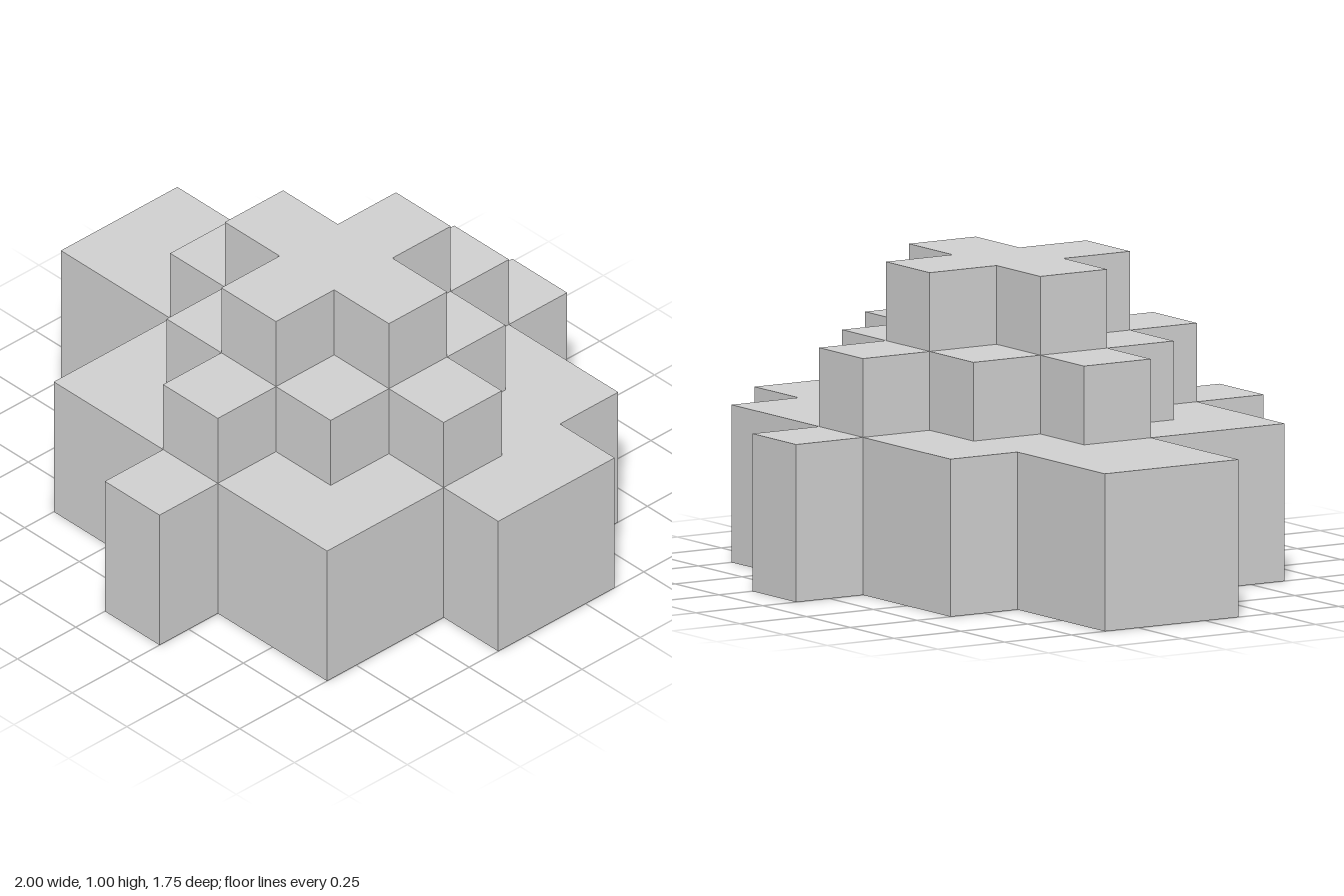
import * as THREE from 'three';

const stone = new THREE.MeshStandardMaterial({ color: 0xd1d1d1 });
stone.name = 'light grey stone';

// Outline of a rectangular body crossed by a long x arm and a long z arm.
// Each rectangle is [minX, maxX, minZ, maxZ].
function crossOutline(body, armX, armZ) {
  const [bx0, bx1, bz0, bz1] = body;
  const [ax0, ax1, az0, az1] = armX;
  const [cx0, cx1, cz0, cz1] = armZ;
  const points = [
    [cx0, cz1], [cx1, cz1], [cx1, bz1], [bx1, bz1], [bx1, az1],
    [ax1, az1], [ax1, az0], [bx1, az0], [bx1, bz0], [cx1, bz0],
    [cx1, cz0], [cx0, cz0], [cx0, bz0], [bx0, bz0], [bx0, az0],
    [ax0, az0], [ax0, az1], [bx0, az1], [bx0, bz1], [cx0, bz1],
  ].map(([x, z]) => new THREE.Vector2(x, -z));
  // Drop corners that coincide where the body is no wider than the arms
  return points.filter((p, i) => i === 0 || !p.equals(points[i - 1]));
}

function makeTier(name, bottom, height, body, armX, armZ) {
  const shape = new THREE.Shape(crossOutline(body, armX, armZ));
  const geometry = new THREE.ExtrudeGeometry(shape, { depth: height, bevelEnabled: false });
  geometry.rotateX(-Math.PI / 2);
  const mesh = new THREE.Mesh(geometry, stone);
  mesh.name = name;
  mesh.position.y = bottom;
  return mesh;
}

export function createModel() {
  const model = new THREE.Group();
  model.name = 'steppedMound';
  model.add(
    // Wide base with unequal side arms
    makeTier('baseTier', 0, 0.5,
      [-0.5, 0.75, -0.625, 0.625], [-1, 1, -0.375, 0.125], [0, 0.25, -0.875, 0.875]),
    // Square middle step with one block on each side
    makeTier('middleTier', 0.5, 0.25,
      [-0.25, 0.5, -0.375, 0.375], [-0.5, 0.75, -0.125, 0.125], [0, 0.25, -0.625, 0.625]),
    // Plain cross on top
    makeTier('topCross', 0.75, 0.25,
      [0, 0.25, -0.125, 0.125], [-0.25, 0.5, -0.125, 0.125], [0, 0.25, -0.375, 0.375]),
  );
  return model;
}
